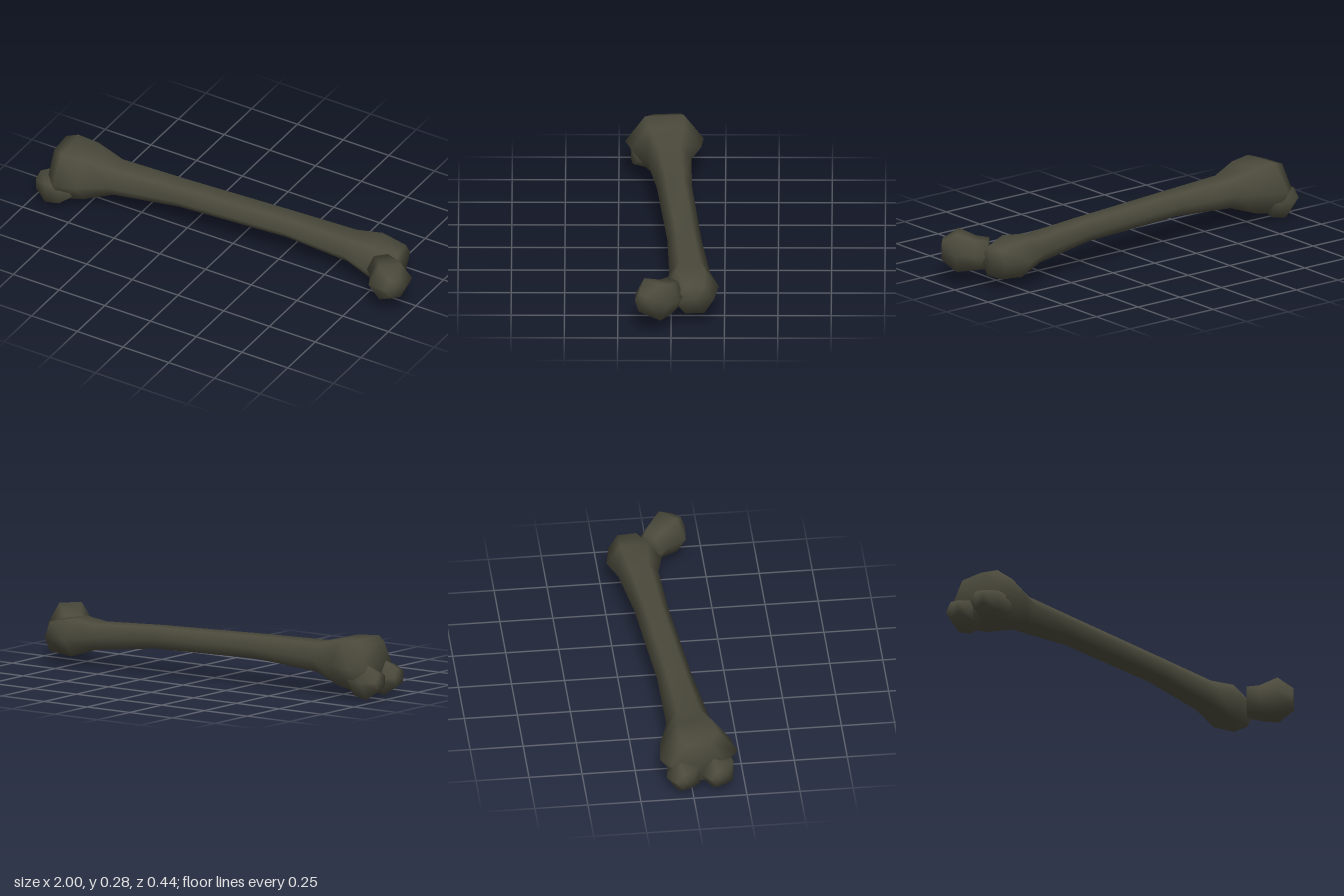
import * as THREE from 'three';

const UP = new THREE.Vector3(0, 1, 0);

// Smooth closed loft: rings are [x, y, z, sideRadius, upRadius], swept along a level direction.
function loft(rings, direction, sides, startAngle = 0) {
  const w = direction.clone().normalize();
  const side = new THREE.Vector3().crossVectors(UP, w);
  const positions = [];
  const index = [];
  for (const [x, y, z, rSide, rUp] of rings) {
    for (let j = 0; j < sides; j++) {
      const a = startAngle + (j / sides) * Math.PI * 2;
      const p = new THREE.Vector3(x, y, z)
        .addScaledVector(side, Math.cos(a) * rSide)
        .addScaledVector(UP, Math.sin(a) * rUp);
      positions.push(p.x, p.y, p.z);
    }
  }
  const last = rings.length - 1;
  const startCentre = rings.length * sides;
  positions.push(...rings[0].slice(0, 3), ...rings[last].slice(0, 3));
  for (let j = 0; j < sides; j++) {
    const k = (j + 1) % sides;
    for (let i = 0; i < last; i++) {
      const a = i * sides, b = a + sides;
      index.push(a + j, a + k, b + k, a + j, b + k, b + j);
    }
    index.push(startCentre, k, j);
    index.push(startCentre + 1, last * sides + j, last * sides + k);
  }
  const geometry = new THREE.BufferGeometry();
  geometry.setAttribute('position', new THREE.Float32BufferAttribute(positions, 3));
  geometry.setIndex(index);
  geometry.computeVertexNormals();
  return geometry;
}

export function createModel() {
  const model = new THREE.Group();
  model.name = 'thighBone';
  const bone = new THREE.MeshStandardMaterial({ color: 0x4b4a3c });
  bone.name = 'darkBone';

  const add = (name, geometry) => {
    const mesh = new THREE.Mesh(geometry, bone);
    mesh.name = name;
    model.add(mesh);
  };

  // Six-sided shaft, flared at both ends and drifting backwards to +x
  add('shaft', loft([
    [-0.93, 0.155, 0.025, 0.125, 0.12],
    [-0.87, 0.153, 0.037, 0.185, 0.1425],
    [-0.76, 0.16, 0.028, 0.165, 0.127],
    [-0.62, 0.168, 0.015, 0.105, 0.079],
    [-0.28, 0.182, -0.012, 0.083, 0.061],
    [0.28, 0.175, -0.06, 0.08, 0.058],
    [0.6, 0.151, -0.086, 0.096, 0.07],
    [0.73, 0.137, -0.092, 0.132, 0.102],
    [0.855, 0.132, -0.112, 0.09, 0.08],
  ], new THREE.Vector3(1, 0, -0.085), 6));

  // Neck and ball head, set forwards at an angle
  add('neckAndHead', loft([
    [0.803, 0.147, -0.008, 0.068, 0.078],
    [0.855, 0.15, 0.022, 0.082, 0.084],
    [0.9125, 0.16, 0.0875, 0.106, 0.107],
    [0.967, 0.163, 0.135, 0.048, 0.055],
  ], new THREE.Vector3(0.72, 0, 0.69), 6));

  // Pair of five-sided knuckles at the other end
  const knuckles = [['frontKnuckle', 0.125, 0.012], ['backKnuckle', -0.035, 0]];
  for (const [name, z, dx] of knuckles) {
    add(name, loft([
      [-0.81 + dx, 0.1, z, 0.045, 0.045],
      [-0.86 + dx, 0.085, z, 0.075, 0.075],
      [-0.93 + dx, 0.083, z, 0.087, 0.087],
      [-0.996 + dx, 0.09, z, 0.045, 0.045],
    ], new THREE.Vector3(-1, 0, 0.085), 5, THREE.MathUtils.degToRad(-38)));
  }

  return model;
}
